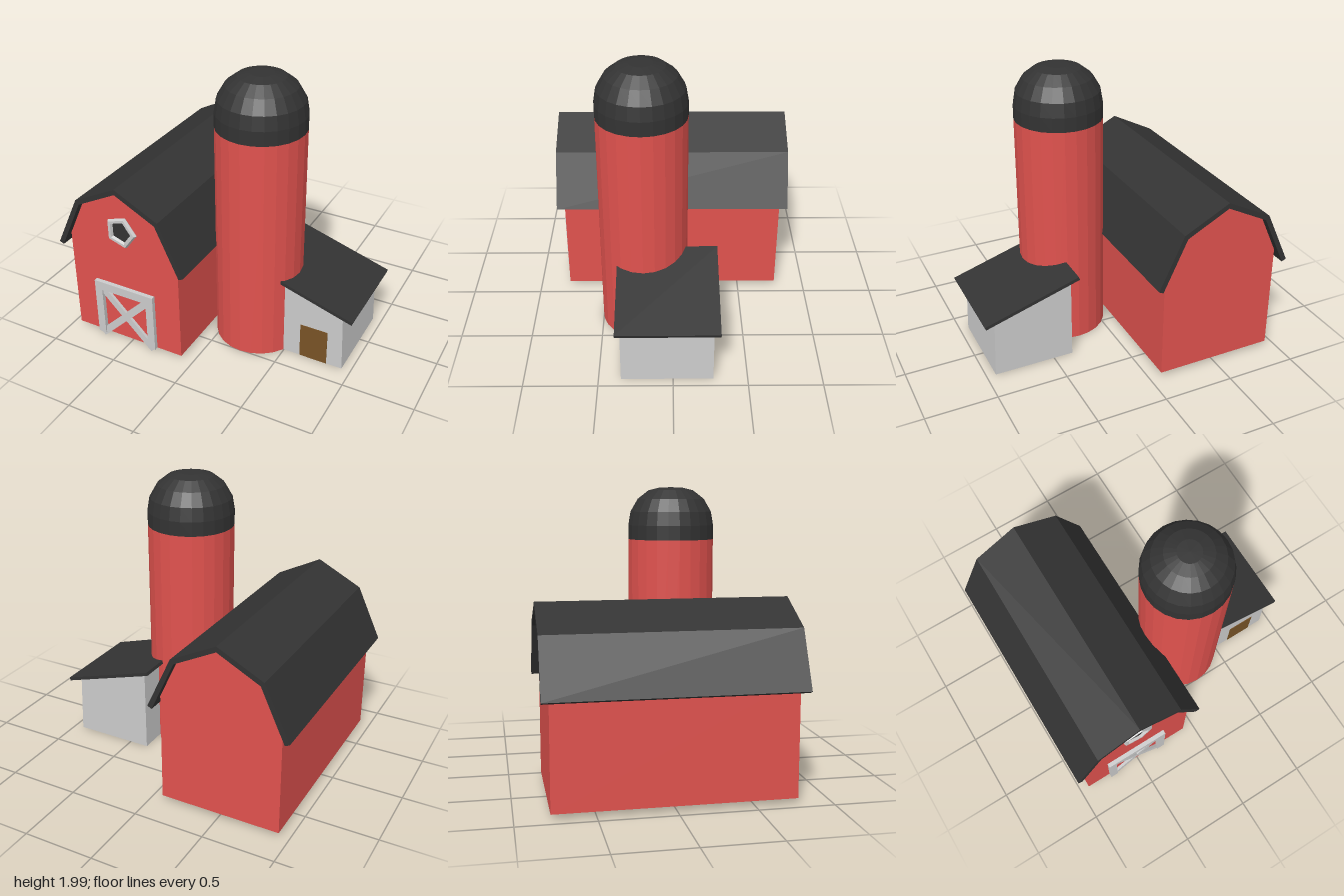
import * as THREE from 'three';

const mat = (color) => new THREE.MeshStandardMaterial({ color, flatShading: true });

export function createModel() {
  const model = new THREE.Group();
  const red = mat(0xe0524e), dark = mat(0x333333), grey = mat(0xcccccc), brown = mat(0x785326);

  const add = (parent, name, geometry, material, x = 0, y = 0, z = 0) => {
    const mesh = new THREE.Mesh(geometry, material);
    mesh.name = name;
    mesh.position.set(x, y, z);
    parent.add(mesh);
    return mesh;
  };
  const group = (name) => {
    const g = new THREE.Group();
    g.name = name;
    model.add(g);
    return g;
  };
  // Extrude an xy outline from z0 to z1
  const prism = (points, z0, z1) => new THREE.ExtrudeGeometry(
    new THREE.Shape(points.map(([x, y]) => new THREE.Vector2(x, y))),
    { depth: z1 - z0, bevelEnabled: false }).translate(0, 0, z0);
  // Complete a left half-profile that ends on the x = 0 ridge
  const mirrored = (half) => [...half, ...half.slice(0, -1).reverse().map(([x, y]) => [-x, y])];

  // Barn: gambrel walls and folded roof
  const barn = group('barn');
  barn.position.x = -0.507;
  const wall = mirrored([[-0.425, 0.035], [-0.425, 0.81], [-0.296, 1.082], [0, 1.236]]);
  add(barn, 'barnWalls', prism(wall, -0.78, 0.78), red);
  const roofOuter = mirrored([[-0.493, 0.735], [-0.319, 1.107], [0, 1.27]]);
  const roofInner = mirrored([[-0.461, 0.72], [-0.295, 1.079], [0, 1.231]]);
  add(barn, 'barnRoof', prism([...roofOuter, ...roofInner.reverse()], -0.83, 0.83), dark);

  // Barn door frame with crossed braces
  const door = new THREE.Group();
  door.name = 'barnDoor';
  barn.add(door);
  for (const s of [-1, 1]) {
    add(door, 'doorPost', new THREE.BoxGeometry(0.058, 0.38, 0.04), grey, -0.006 + s * 0.207, 0.225, 0.79);
    add(door, 'doorBrace', new THREE.BoxGeometry(0.6, 0.05, 0.04), grey, -0.004, 0.23, 0.78)
      .rotation.z = s * Math.PI / 4;
  }
  add(door, 'doorLintel', new THREE.BoxGeometry(0.472, 0.064, 0.04), grey, -0.006, 0.443, 0.79);

  // Five-sided gable window
  add(barn, 'windowFrame', new THREE.TorusGeometry(0.1, 0.022, 6, 5), grey, 0, 0.928, 0.785);
  add(barn, 'windowPane', new THREE.CircleGeometry(0.1, 5), dark, 0, 0.928, 0.786);

  // Silo with domed cap
  const silo = group('silo');
  silo.position.set(0.23, 0, 0.2);
  add(silo, 'siloTower', new THREE.CylinderGeometry(0.305, 0.305, 1.62, 24), red, 0, 0.81, 0);
  const dome = [[0.305, 1.62], [0.305, 1.72], [0.289, 1.815], [0.237, 1.905], [0.16, 1.965], [0.08, 1.985], [0, 1.987]];
  add(silo, 'siloDome', new THREE.LatheGeometry(dome.map(([r, y]) => new THREE.Vector2(r, y)), 24), dark);

  // Lean-to shed
  const shed = group('shed');
  add(shed, 'shedWalls', prism([[0.36, 0], [0.935, 0], [0.92, 0.435], [0.36, 0.61]], -0.27, 0.35), grey);
  add(shed, 'shedRoof', prism([[0.31, 0.622], [0.993, 0.412], [1, 0.434], [0.317, 0.645]], -0.31, 0.38), dark);
  add(shed, 'shedDoor', new THREE.BoxGeometry(0.2, 0.263, 0.02), brown, 0.72, 0.1335, 0.344);

  return model;
}
